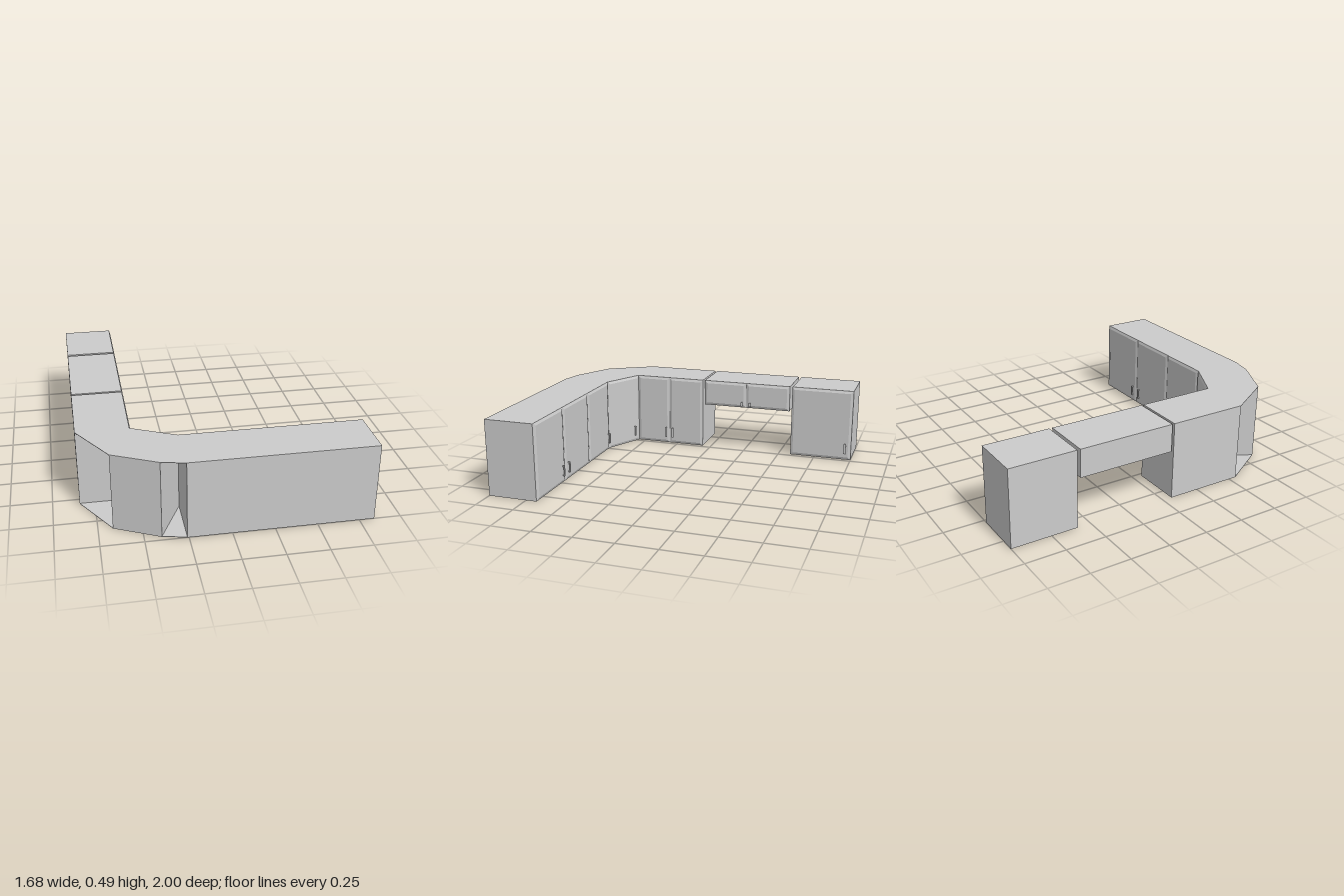
import * as THREE from 'three';

const TOP = 0.485;
const material = new THREE.MeshStandardMaterial({ color: 0xcccccc, flatShading: true });

function add(parent, name, geometry, x = 0, y = 0, z = 0) {
  const mesh = new THREE.Mesh(geometry, material);
  mesh.name = name;
  mesh.position.set(x, y, z);
  parent.add(mesh);
  return mesh;
}

// Upright prism over a floor outline of [x, z] points
function prism(parent, name, outline, y0, y1) {
  const shape = new THREE.Shape(outline.map(([x, z]) => new THREE.Vector2(x, -z)));
  const geometry = new THREE.ExtrudeGeometry(shape, { depth: y1 - y0, bevelEnabled: false });
  geometry.rotateX(-Math.PI / 2);
  return add(parent, name, geometry, 0, y0, 0);
}

const rect = (x0, x1, z0, z1) => [[x0, z0], [x1, z0], [x1, z1], [x0, z1]];

// Door panel whose front face is inset to leave a sloping border
function panelGeometry(w, h, depth, bevel) {
  const geometry = new THREE.BoxGeometry(w, h, depth);
  const p = geometry.attributes.position;
  for (let i = 0; i < p.count; i++) {
    if (p.getZ(i) > 0) {
      p.setX(i, p.getX(i) - Math.sign(p.getX(i)) * bevel);
      p.setY(i, p.getY(i) - Math.sign(p.getY(i)) * bevel);
    }
  }
  geometry.computeVertexNormals();
  return geometry;
}

// Door from floor point a to b, facing the inside of the L; side 1 puts the handle near b
function door(parent, a, b, y0, side, inset, handleY0, handleY1) {
  const dx = b[0] - a[0], dz = b[1] - a[1];
  const w = Math.hypot(dx, dz), depth = 0.007;
  const group = new THREE.Group();
  group.name = 'door';
  group.position.set((a[0] + b[0]) / 2, 0, (a[1] + b[1]) / 2);
  group.rotation.y = Math.atan2(-dz, dx);
  parent.add(group);
  add(group, 'doorPanel', panelGeometry(w - 0.003, TOP - y0 - 0.002, depth, 0.017),
    0, (TOP + y0) / 2, depth / 2);

  // Pull handle: two posts and a bar
  const hx = side * (w / 2 - inset), len = handleY1 - handleY0;
  for (const y of [handleY0 + 0.004, handleY1 - 0.004]) {
    add(group, 'handlePost', new THREE.BoxGeometry(0.006, 0.008, 0.012), hx, y, depth + 0.004);
  }
  add(group, 'handleBar', new THREE.BoxGeometry(0.014, len, 0.004), hx, (handleY0 + handleY1) / 2, depth + 0.011);
}

export function createModel() {
  const model = new THREE.Group();
  model.name = 'wallCabinets';
  const faceX = -0.525, faceZ = 0.68, shelfY = 0.31;

  // Cabinet bodies
  prism(model, 'endCabinet', rect(-0.84, faceX, -1, -0.585), 0, TOP);
  prism(model, 'shortCabinet', rect(-0.84, faceX, -0.565, 0.045), shelfY, TOP);
  prism(model, 'sideCabinet', rect(-0.84, faceX, 0.06, 0.55), 0, TOP);
  prism(model, 'longCabinet', rect(-0.26, 0.84, faceZ, 1), 0, TOP);
  const inner = [faceX, 0.55], outer = [-0.26, faceZ];
  const backOuter = [-0.4, 0.97], backInner = [-0.665, 0.84];
  prism(model, 'cornerCabinet', [inner, outer, backOuter, backInner], 0, TOP);

  // Top and bottom fillers over the two open wedges beside the corner cabinet
  const wedges = [[inner, backInner, [-0.84, 0.55]], [outer, [-0.26, 1], backOuter]];
  for (const wedge of wedges) {
    prism(model, 'bottomFiller', wedge, 0, 0.003);
    prism(model, 'topFiller', wedge, TOP - 0.003, TOP);
  }

  // Doors of the long cabinet, from its free end to the corner: start, end, handle side, inset
  for (const [x0, x1, side, inset] of [[0.83, 0.45, 1, 0.04], [0.45, 0.08, -1, 0.04], [0.08, -0.26, 1, 0.025]]) {
    door(model, [x0, faceZ], [x1, faceZ], 0, side, inset, 0.045, 0.115);
  }

  // Corner door
  door(model, outer, inner, 0, 1, 0.05, 0.045, 0.115);

  // Doors of the side run
  for (const [z0, z1, side, inset] of [[0.55, 0.31, 1, 0.025], [0.31, 0.06, -1, 0.025], [-0.58, -1, 1, 0.04]]) {
    door(model, [faceX, z0], [faceX, z1], 0, side, inset, 0.045, 0.115);
  }
  for (const [z0, z1, side] of [[0.045, -0.257, 1], [-0.257, -0.565, -1]]) {
    door(model, [faceX, z0], [faceX, z1], shelfY, side, 0.028, 0.322, 0.35);
  }
  return model;
}
